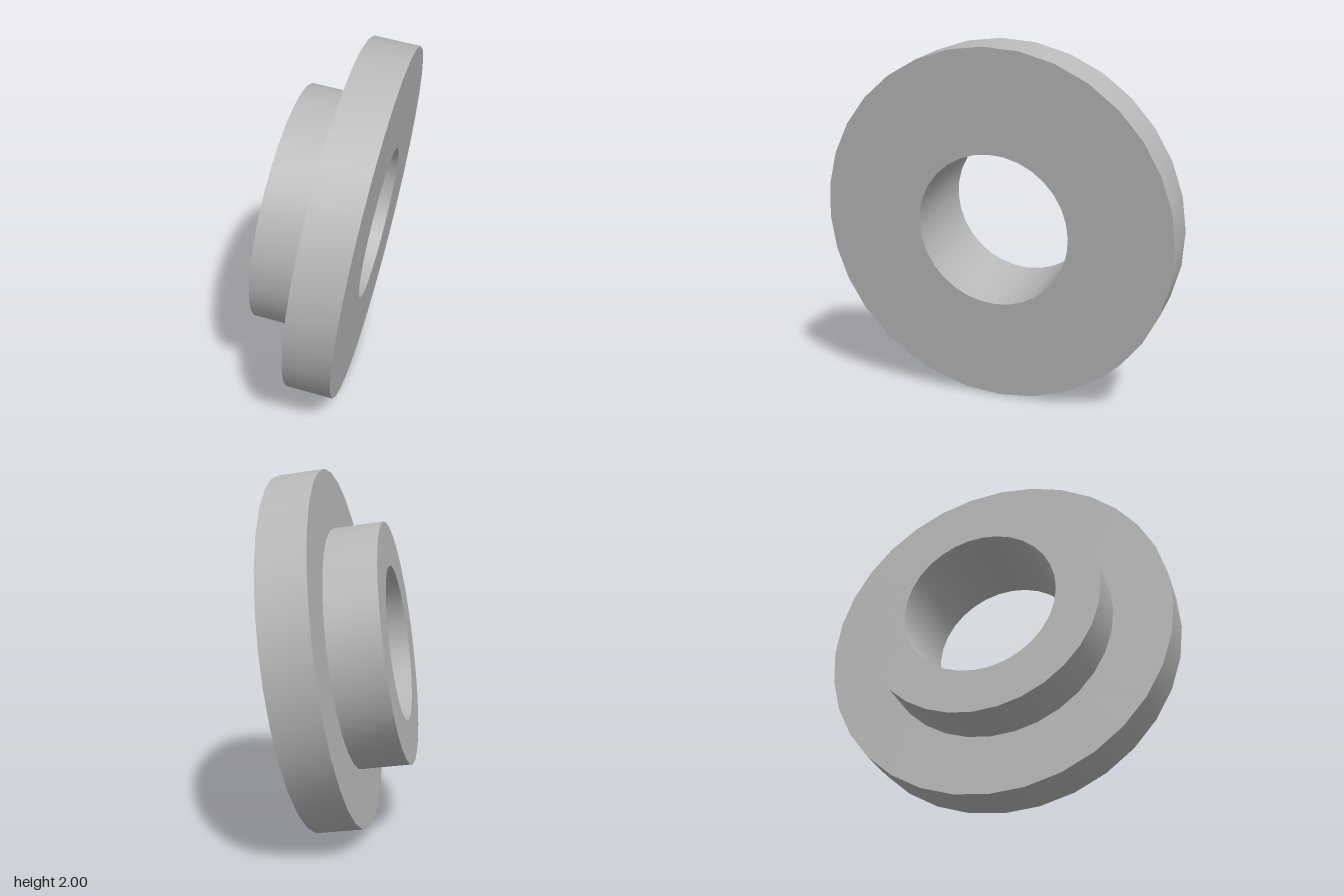
import * as THREE from 'three';
import { toCreasedNormals } from 'three/addons/utils/BufferGeometryUtils.js';

export function createModel() {
  const group = new THREE.Group();
  group.name = 'flangedBushing';

  const steel = new THREE.MeshStandardMaterial({ color: 0xb8b8b8 });
  steel.name = 'steel grey';

  const bore = 0.428, hubRadius = 0.669, flangeRadius = 0.992;
  const hubLength = 0.279, flangeThickness = 0.255;
  const total = hubLength + flangeThickness;

  // Closed stepped profile: hub, shoulder, flange, then back down the bore
  const profile = [
    [bore, 0], [hubRadius, 0], [hubRadius, hubLength], [flangeRadius, hubLength],
    [flangeRadius, total], [bore, total], [bore, 0],
  ].map(([r, h]) => new THREE.Vector2(r, h));
  const geometry = toCreasedNormals(new THREE.LatheGeometry(profile, 32), 0.6);
  geometry.rotateZ(-Math.PI / 2); // lathe axis along +x

  const bushing = new THREE.Mesh(geometry, steel);
  bushing.name = 'flangeAndHub';

  // Tilt the axis slightly down and forward
  const axis = new THREE.Vector3(0.98, -0.139, 0.139).normalize();
  bushing.quaternion.setFromUnitVectors(new THREE.Vector3(1, 0, 0), axis);
  bushing.position.set(-0.025, 1.0175, -0.0175).addScaledVector(axis, -hubLength);

  group.add(bushing);
  return group;
}
